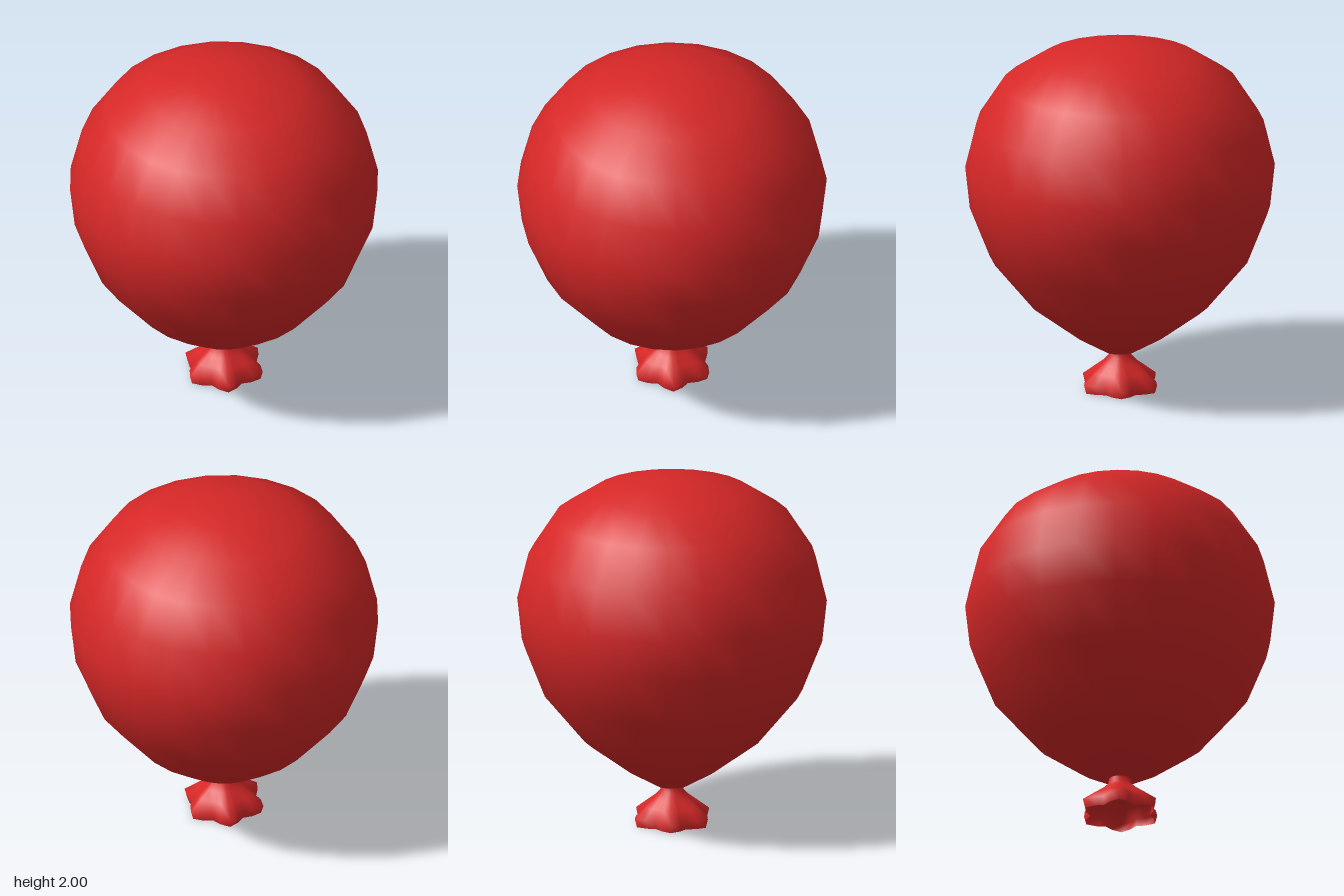
import * as THREE from 'three';
import { mergeVertices } from 'three/addons/utils/BufferGeometryUtils.js';

const SEGMENTS = 24;

// Revolve a [radius, height] profile, listed from the bottom up
function revolve(profile) {
  return new THREE.LatheGeometry(profile.map(([r, y]) => new THREE.Vector2(r, y)), SEGMENTS);
}

// Weld the seam so the shading runs smoothly all round
function smooth(geometry) {
  geometry.deleteAttribute('uv');
  geometry.deleteAttribute('normal');
  const welded = mergeVertices(geometry, 1e-4);
  welded.computeVertexNormals();
  return welded;
}

export function createModel() {
  const group = new THREE.Group();
  group.name = 'balloon';
  const red = new THREE.MeshStandardMaterial({ color: 0xd62727, side: THREE.DoubleSide });
  red.name = 'red rubber';

  // Inflated body, tapering to the neck
  const body = new THREE.Mesh(smooth(revolve([
    [0, 0.215], [0.09, 0.22], [0.26, 0.32], [0.5, 0.5], [0.73, 0.78], [0.84, 1.06],
    [0.866, 1.3], [0.803, 1.56], [0.657, 1.785], [0.435, 1.93], [0.19, 1.992], [0, 2],
  ])), red);
  body.name = 'body';
  group.add(body);

  // Open neck flaring into a skirt with six ruffles
  const skirt = revolve([
    [0.222, 0], [0.236, 0.05], [0.165, 0.105], [0.105, 0.15], [0.065, 0.19], [0.062, 0.23],
  ]);
  const p = skirt.attributes.position;
  for (let i = 0; i < p.count; i++) {
    const x = p.getX(i), z = p.getZ(i);
    const flare = THREE.MathUtils.clamp((Math.hypot(x, z) - 0.065) / 0.16, 0, 1);
    const valley = (1 - Math.cos(6 * Math.atan2(z, x))) / 2;
    const scale = 1 - 0.25 * flare * valley;
    p.setX(i, x * scale);
    p.setZ(i, z * scale);
  }
  const neck = new THREE.Mesh(smooth(skirt), red);
  neck.name = 'ruffledNeck';
  group.add(neck);

  return group;
}
